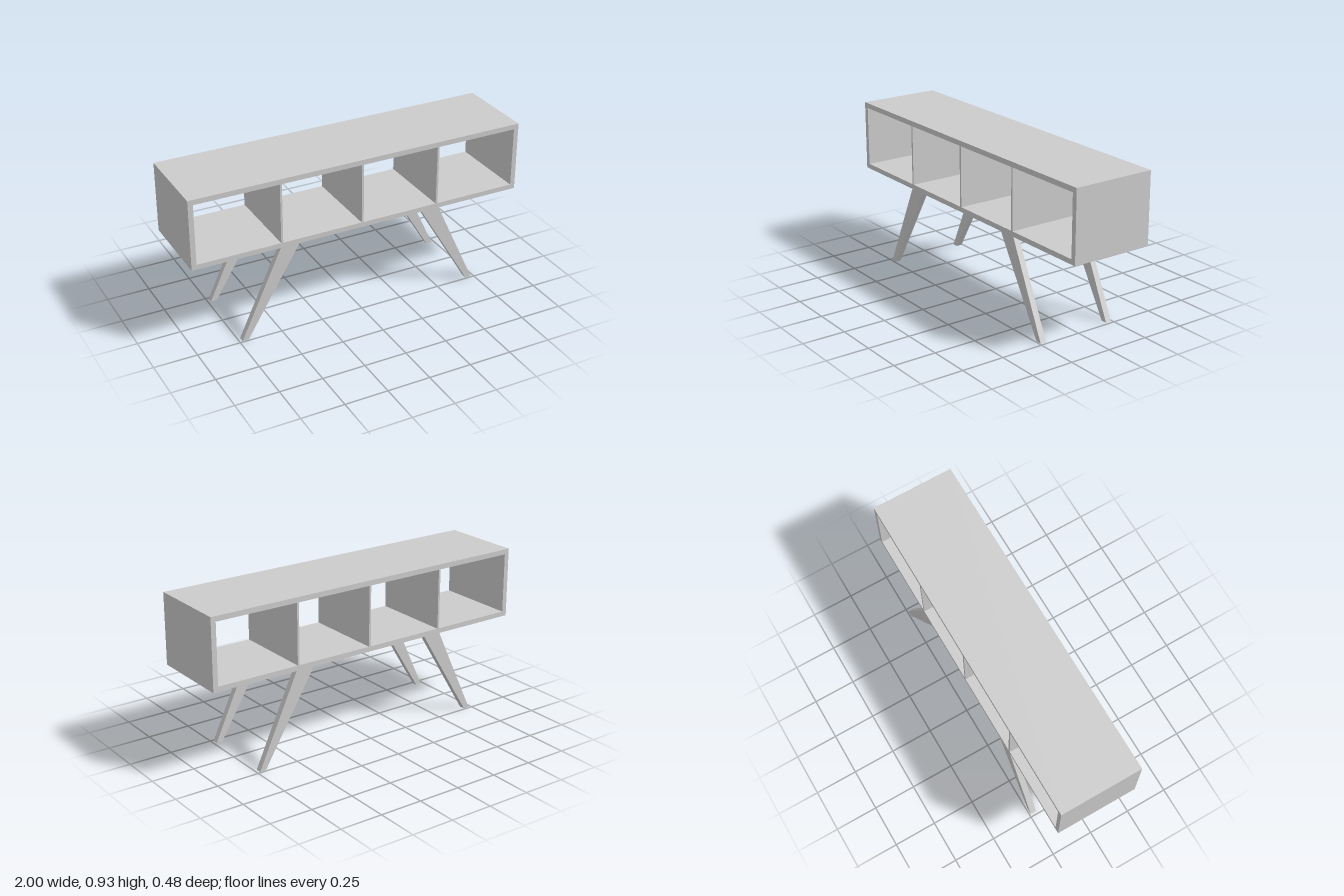
import * as THREE from 'three';

const material = new THREE.MeshStandardMaterial({ color: 0xcccccc, flatShading: true });
const DEPTH = 0.484;
const BOTTOM = 0.523, TOP = 0.933;        // cabinet outside
const FLOOR = 0.552, CEILING = 0.903;     // cabinet opening
const INNER = 0.971;                      // half width of the opening

// Extrudes a front outline along z, centred on z.
function slab(name, shape, depth, z) {
  const geometry = new THREE.ExtrudeGeometry(shape, { depth, bevelEnabled: false });
  geometry.translate(0, 0, z - depth / 2);
  const mesh = new THREE.Mesh(geometry, material);
  mesh.name = name;
  return mesh;
}

function polygon(points) {
  return new THREE.Shape(points.map(([x, y]) => new THREE.Vector2(x, y)));
}

function rectangle(x, y0, y1) {
  return [[-x, y0], [x, y0], [x, y1], [-x, y1]];
}

export function createModel() {
  const model = new THREE.Group();
  model.name = 'openConsole';

  // Cabinet: one frame open at front and back
  const frame = polygon(rectangle(1, BOTTOM, TOP));
  frame.holes.push(polygon(rectangle(INNER, FLOOR, CEILING)));
  model.add(slab('cabinetFrame', frame, DEPTH, 0));

  // Thin upright dividers
  [-0.481, 0.005, 0.476].forEach((x, i) => {
    const divider = new THREE.Mesh(
      new THREE.BoxGeometry(0.012, CEILING - FLOOR, DEPTH), material);
    divider.position.set(x, (CEILING + FLOOR) / 2, 0);
    divider.name = `divider${i + 1}`;
    model.add(divider);
  });

  // Splayed, tapering legs flush with the front and back
  const thick = 0.035;
  for (const side of [-1, 1]) {
    const leg = polygon([
      [side * 0.38, BOTTOM], [side * 0.49, BOTTOM], [side * 0.733, 0], [side * 0.697, 0],
    ]);
    for (const end of [-1, 1]) {
      const name = (end > 0 ? 'front' : 'back') + (side > 0 ? 'Left' : 'Right') + 'Leg';
      model.add(slab(name, leg, thick, end * (DEPTH - thick) / 2));
    }
  }
  return model;
}
